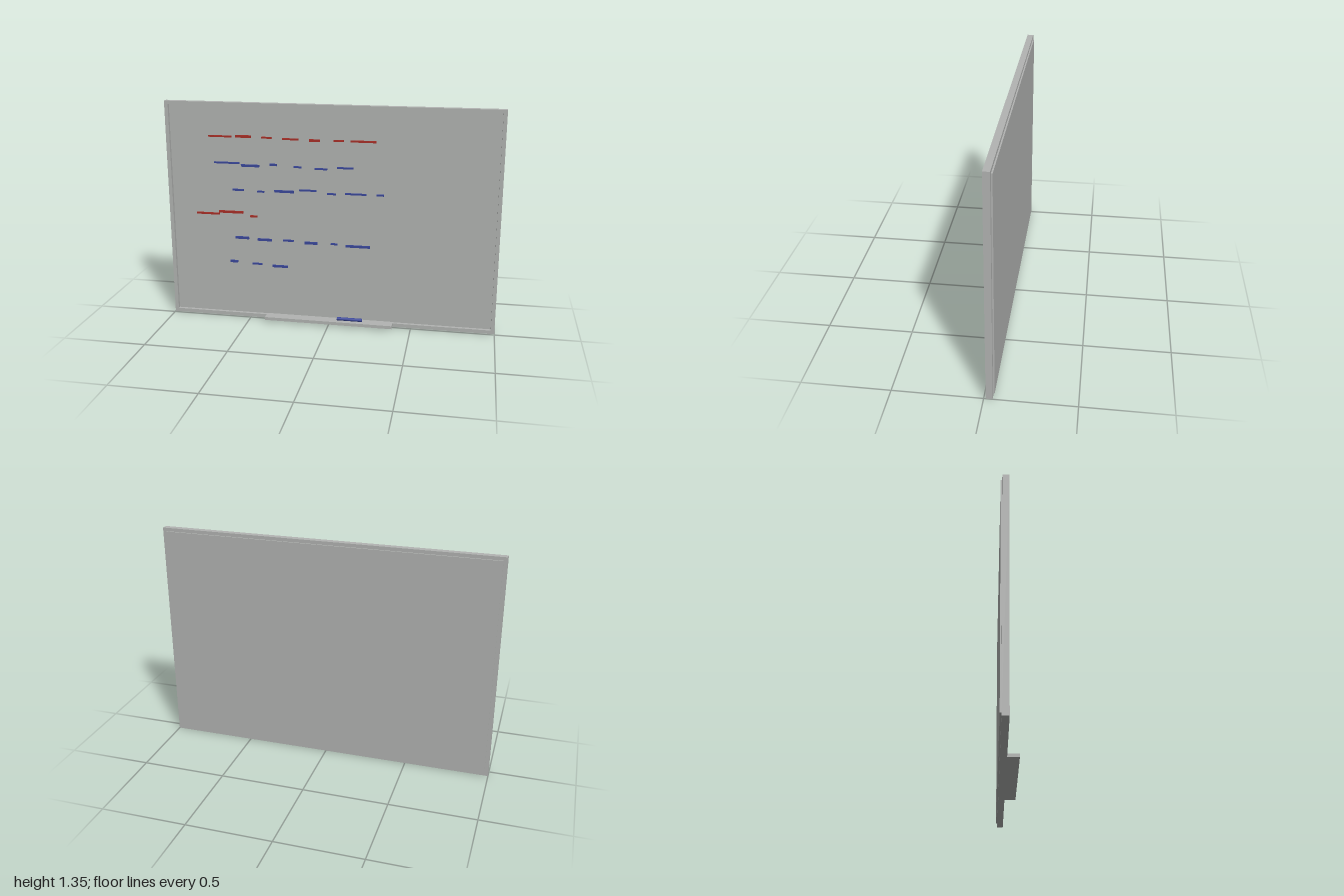
import * as THREE from 'three';

export function createModel() {
  const board = new THREE.Group();
  board.name = 'whiteboard';

  const material = (name, color) => {
    const m = new THREE.MeshStandardMaterial({ color });
    m.name = name;
    return m;
  };
  const grey = material('board grey', 0xb2b4b2);
  const red = material('red ink', 0xa82e26);
  const blue = material('blue ink', 0x3a479a);

  const add = (name, geometry, mat, x, y, z) => {
    const mesh = new THREE.Mesh(geometry, mat);
    mesh.name = name;
    mesh.position.set(x, y, z);
    board.add(mesh);
    return mesh;
  };

  // Rectangular frame with an open middle
  const rectangle = (target, x, y0, y1) => {
    target.moveTo(-x, y0);
    target.lineTo(x, y0);
    target.lineTo(x, y1);
    target.lineTo(-x, y1);
    target.closePath();
    return target;
  };
  const outline = rectangle(new THREE.Shape(), 1, 0, 1.345);
  outline.holes.push(rectangle(new THREE.Path(), 0.978, 0.022, 1.325));
  add('frame', new THREE.ExtrudeGeometry(outline, { depth: 0.037, bevelEnabled: false }),
    grey, 0, 0, -0.048);

  // Writing panel: recessed in front, slightly proud at the back
  add('panel', new THREE.BoxGeometry(1.956, 1.303, 0.026), grey, 0, 0.6735, -0.043);

  // Tray with a marker lying on it
  add('tray', new THREE.BoxGeometry(0.786, 0.019, 0.067), grey, -0.002, 0.0225, 0.0225);
  const marker = add('marker', new THREE.CylinderGeometry(0.01, 0.01, 0.154, 16),
    blue, 0.129, 0.042, 0.023);
  marker.rotation.z = Math.PI / 2;

  // Written strokes, row by row: [start x, end x, centre y, height]
  const rows = [
    [red, [[-0.74, -0.595, 1.14, 0.01], [-0.573, -0.477, 1.143, 0.015], [-0.412, -0.35, 1.14, 0.01],
      [-0.285, -0.19, 1.136, 0.01], [-0.124, -0.06, 1.133, 0.014], [0.02, 0.08, 1.136, 0.01],
      [0.122, 0.272, 1.136, 0.011]]],
    [blue, [[-0.707, -0.553, 0.98, 0.01], [-0.542, -0.43, 0.967, 0.014], [-0.364, -0.322, 0.978, 0.013],
      [-0.22, -0.172, 0.97, 0.01], [-0.093, -0.017, 0.964, 0.01], [0.042, 0.137, 0.975, 0.01]]],
    [blue, [[-0.6, -0.53, 0.815, 0.011], [-0.445, -0.402, 0.81, 0.01], [-0.339, -0.22, 0.817, 0.014],
      [-0.187, -0.082, 0.83, 0.01], [-0.017, 0.036, 0.815, 0.01], [0.09, 0.217, 0.82, 0.01],
      [0.278, 0.32, 0.82, 0.01]]],
    [red, [[-0.83, -0.687, 0.659, 0.011], [-0.69, -0.537, 0.674, 0.014], [-0.493, -0.45, 0.653, 0.011]]],
    [blue, [[-0.59, -0.505, 0.513, 0.015], [-0.45, -0.36, 0.507, 0.014], [-0.29, -0.225, 0.51, 0.011],
      [-0.156, -0.077, 0.502, 0.015], [0.005, 0.045, 0.504, 0.01], [0.095, 0.243, 0.496, 0.014]]],
    [blue, [[-0.627, -0.58, 0.357, 0.014], [-0.487, -0.425, 0.349, 0.01], [-0.36, -0.263, 0.341, 0.014]]],
  ];
  rows.forEach(([ink, strokes], r) => strokes.forEach(([x0, x1, y, h], i) =>
    add(`stroke row ${r + 1} mark ${i + 1}`, new THREE.BoxGeometry(x1 - x0, h, 0.009),
      ink, (x0 + x1) / 2, y, -0.0257)));

  return board;
}
